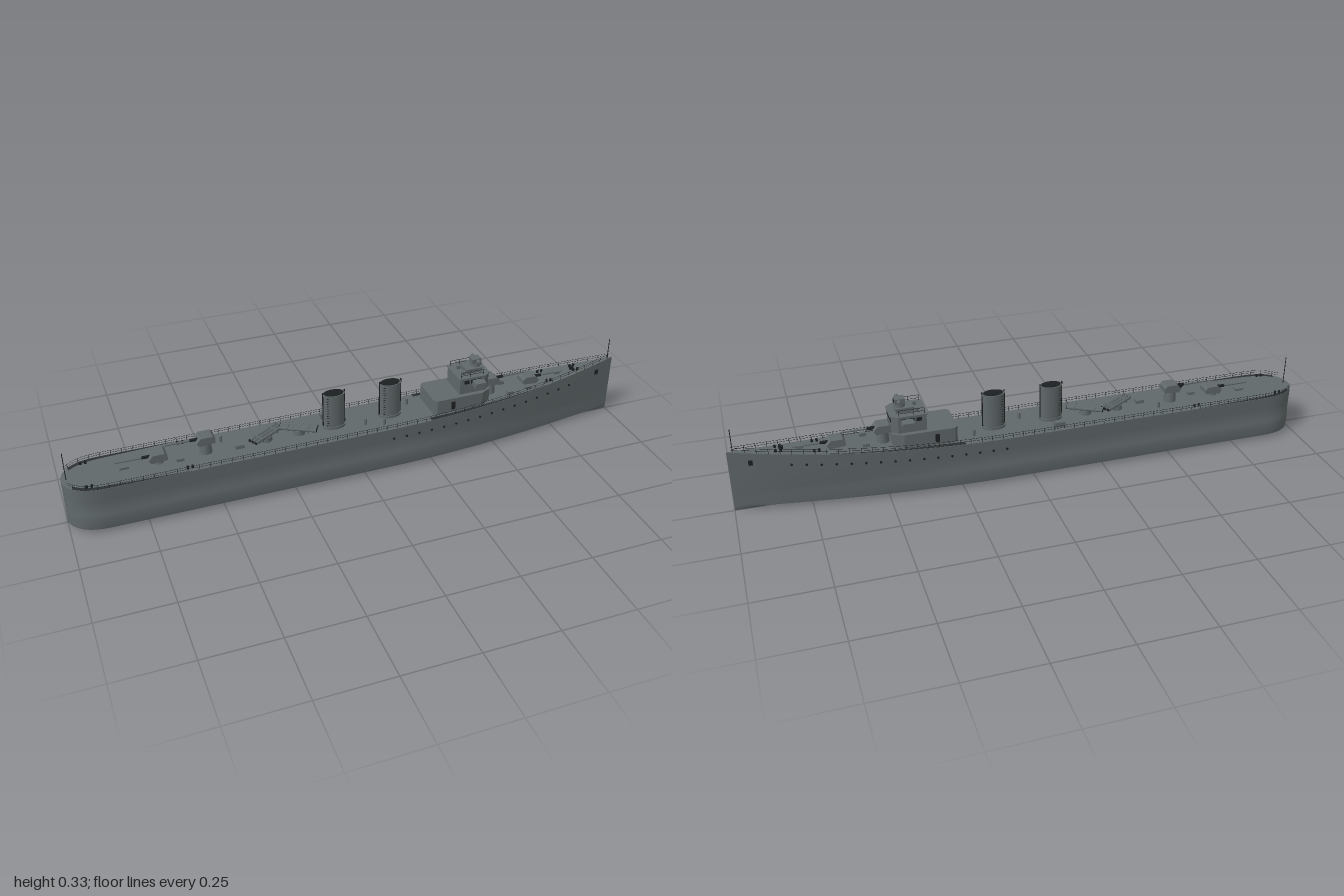
import * as THREE from 'three';
import { mergeGeometries, toCreasedNormals } from 'three/addons/utils/BufferGeometryUtils.js';

const mat = (name, color) => Object.assign(new THREE.MeshStandardMaterial({ color }), { name });
const V = (x, y, z) => new THREE.Vector3(x, y, z);

// Hull lines: sheer height and half breadth along the length
const deckY = x => 0.165 + 0.055 * Math.max(0, (x - 0.05) / 0.95) ** 2;
const half = (x, beam, power) => {
  if (x > 0.1) return beam * Math.max(0, 1 - ((x - 0.1) / 0.9) ** power);
  if (x < -0.85) return beam * Math.sqrt(Math.max(0, 1 - ((-0.85 - x) / 0.15) ** 2.8));
  return beam;
};
const deckHalf = x => half(x, 0.093, 2.2);

// Surface through rows of points
function loft(rows) {
  const n = rows[0].length, index = [];
  for (let i = 0; i < rows.length - 1; i++) for (let j = 0; j < n - 1; j++) {
    const a = i * n + j, b = a + n;
    index.push(a, a + 1, b, a + 1, b + 1, b);
  }
  const g = new THREE.BufferGeometry().setFromPoints(rows.flat());
  g.setIndex(index);
  return toCreasedNormals(g, 0.6);
}

// Thin rod between two points
function rod(p, q, r, sides = 5) {
  const d = q.clone().sub(p);
  const g = new THREE.CylinderGeometry(r, r, d.length(), sides);
  g.applyQuaternion(new THREE.Quaternion().setFromUnitVectors(V(0, 1, 0), d.normalize()));
  const m = p.clone().add(q).multiplyScalar(0.5);
  return g.translate(m.x, m.y, m.z);
}

// Vertical prism from a plan outline symmetric in z
function prism(points, height) {
  const outline = [...points, ...points.slice().reverse().map(([x, z]) => [x, -z])];
  const shape = new THREE.Shape(outline.map(p => new THREE.Vector2(...p)));
  return new THREE.ExtrudeGeometry(shape, { depth: height, bevelEnabled: false }).rotateX(-Math.PI / 2);
}

export function createModel() {
  const ship = new THREE.Group();
  ship.name = 'warship';
  const grey = mat('hullGrey', 0x60686a), deckGrey = mat('deckGrey', 0x60686a), dark = mat('darkMetal', 0x1d2021);
  const strips = mat('darkDeckEdge', 0x2c3031);
  strips.side = THREE.DoubleSide;
  const add = (name, geo, material, x = 0, y = 0, z = 0, parent = ship) => {
    const m = new THREE.Mesh(geo, material);
    m.name = name;
    m.position.set(x, y, z);
    parent.add(m);
    return m;
  };
  const box = (name, w, h, d, x, y, z, m = grey, parent = ship) =>
    add(name, new THREE.BoxGeometry(w, h, d), m, x, y, z, parent);

  // Stations, closer together at the round stern
  const xs = [];
  for (let i = 0; i < 14; i++) xs.push(-0.85 - 0.15 * Math.cos(i / 14 * Math.PI / 2));
  for (let i = 0; i <= 50; i++) xs.push(-0.85 + 1.85 * i / 50);

  // Hull shell with a bulged lower side and shallow V bottom
  add('hull', loft(xs.map(x => {
    const w = deckHalf(x), b = half(x, 0.096, 1.8), top = deckY(x), mid = half(x, 0.09, 2);
    const side = [[w, top], [w * 0.6 + mid * 0.4, 0.12], [mid, 0.082], [b * 0.99, 0.068], [b, 0.05], [b, 0.022], [b * 0.98, 0.013]];
    return [...side.map(([z, y]) => V(x, y, z)), V(x, 0, 0), ...side.reverse().map(([z, y]) => V(x, y, -z))];
  })), grey);
  add('deck', loft(xs.map(x => [V(x, deckY(x), -deckHalf(x)), V(x, deckY(x), deckHalf(x))])), deckGrey);

  // Tapering dark waterways on the deck edge
  for (const s of [-1, 1]) for (const [x0, x1] of [[-0.97, -0.6], [0.24, 0.7]]) {
    const rows = [];
    for (let i = 0; i <= 16; i++) {
      const x = x0 + (x1 - x0) * i / 16, w = deckHalf(x);
      rows.push([V(x, deckY(x) + 0.001, s * w), V(x, deckY(x) + 0.001, s * (w - 0.016 * (1 - i / 16) - 0.001))]);
    }
    add('waterway', loft(rows), strips);
  }

  // Guard rails with stanchions on both sides
  for (const s of [-1, 1]) {
    const edge = (x, h) => V(x, deckY(x) + h, s * Math.max(0, deckHalf(x) - 0.002));
    const parts = [];
    for (let i = 0; i <= 54; i++) {
      const x = -0.97 + 1.95 * i / 54;
      parts.push(rod(edge(x, 0), edge(x, 0.017), 0.0008, 4));
    }
    for (const h of [0.009, 0.017]) {
      const pts = [];
      for (let i = 0; i <= 50; i++) pts.push(edge(-0.985 + 1.97 * i / 50, h));
      parts.push(new THREE.TubeGeometry(new THREE.CatmullRomCurve3(pts), 80, 0.0006, 4));
    }
    add('guardRail', mergeGeometries(parts), dark);

    // Portholes and anchor fittings
    for (let i = 0; i < 16; i++) {
      const x = 0.1 + 0.047 * i, y = deckY(x) - 0.038;
      const w = deckHalf(x) * 0.8 + half(x, 0.09, 2) * 0.2;
      add('porthole', new THREE.CylinderGeometry(0.004, 0.004, 0.006, 10).rotateX(Math.PI / 2), dark, x, y, s * w);
    }
    box('anchor', 0.014, 0.018, 0.008, 0.93, 0.178, s * 0.0135, dark);
    for (const x of [-0.92, -0.6, 0.72, 0.84])
      for (const dx of [-0.008, 0.008])
        add('bollard', new THREE.CylinderGeometry(0.004, 0.004, 0.01, 8), dark, x + dx, deckY(x) + 0.005, s * (deckHalf(x) - 0.018));
  }
  add('sternStaff', rod(V(-0.983, 0.165, 0), V(-0.983, 0.265, 0), 0.0014), dark);
  add('bowStaff', rod(V(0.98, 0.217, 0), V(0.98, 0.3, 0), 0.0014), dark);

  // Oval funnels with dark mouth, rim and steam pipes
  for (const x of [-0.084, 0.12]) {
    const f = new THREE.Group();
    f.name = 'funnel';
    f.position.set(x, 0.16, 0);
    ship.add(f);
    const oval = (r, h) => new THREE.CylinderGeometry(r, r, h, 32).scale(1, 1, 0.62);
    add('funnelCasing', oval(0.037, 0.134), grey, 0, 0.067, 0, f);
    add('funnelRim', oval(0.039, 0.005), grey, 0, 0.132, 0, f);
    add('funnelMouth', oval(0.034, 0.002), dark, 0, 0.1355, 0, f);
    add('funnelBase', oval(0.041, 0.012), grey, 0, 0.008, 0, f);
    for (const s of [-1, 1]) add('steamPipe', rod(V(s * 0.0385, 0, 0), V(s * 0.0385, 0.142, 0), 0.0024), dark, 0, 0, 0, f);
    for (const s of [-1, 1]) for (let i = 0; i < 12; i++)
      box('ladderRung', 0.008, 0.0014, 0.002, -0.026, 0.02 + i * 0.0095, s * 0.0172, dark, f);
  }

  // Bridge: deckhouse, wheelhouse, wings, director
  add('deckhouse', prism([[0.26, 0.058], [0.27, 0.068], [0.44, 0.068], [0.475, 0.05]], 0.065), grey, 0, 0.158);
  add('wheelhouse', prism([[0.36, 0.052], [0.455, 0.052], [0.475, 0.036]], 0.058), grey, 0, 0.222);
  add('wheelhouseRoof', prism([[0.356, 0.054], [0.457, 0.054], [0.479, 0.037]], 0.004), grey, 0, 0.279);
  for (let i = -2; i <= 2; i++) box('frontWindow', 0.003, 0.014, 0.0115, 0.475, 0.267, i * 0.0142, dark);
  for (const s of [-1, 1]) {
    for (let i = 0; i < 3; i++) box('sideWindow', 0.018, 0.013, 0.003, 0.385 + i * 0.025, 0.267, s * 0.052, dark);
    box('bridgeWing', 0.04, 0.02, 0.033, 0.425, 0.262, s * 0.068);
    box('deckhouseDoor', 0.014, 0.03, 0.003, 0.33, 0.195, s * 0.068, dark);
    box('signalLamp', 0.012, 0.012, 0.01, 0.385, 0.289, s * 0.022);
    const rails = [];
    for (const x of [0.365, 0.4, 0.45]) rails.push(rod(V(x, 0.28, s * 0.046), V(x, 0.303, s * 0.046), 0.0009));
    for (const y of [0.292, 0.303]) rails.push(rod(V(0.365, y, s * 0.046), V(0.45, y, s * 0.046), 0.0007));
    add('bridgeRail', mergeGeometries(rails), dark);
  }
  box('chartHouse', 0.06, 0.018, 0.05, 0.425, 0.29, 0);
  add('directorBase', new THREE.CylinderGeometry(0.017, 0.02, 0.024, 16), grey, 0.438, 0.303, 0);
  box('director', 0.034, 0.018, 0.03, 0.438, 0.319, 0);
  add('rangefinder', new THREE.CylinderGeometry(0.0065, 0.0065, 0.064, 12).rotateX(Math.PI / 2), grey, 0.442, 0.32, 0);
  box('directorSight', 0.003, 0.007, 0.014, 0.4555, 0.32, 0, dark);

  // Gun mounts: [x, floor height, facing]
  for (const [x, y, dir] of [[0.655, 0.188, 1], [0.5, 0.214, 1], [-0.69, 0.174, -1], [-0.53, 0.203, -1]]) {
    const gun = new THREE.Group();
    gun.name = 'gunMount';
    gun.position.set(x, y, 0);
    gun.rotation.y = dir > 0 ? 0 : Math.PI;
    ship.add(gun);
    const below = y - deckY(x) + 0.003;
    add('pedestal', new THREE.CylinderGeometry(0.018, 0.022, below, 16), grey, 0, -below / 2, 0, gun);
    const side = new THREE.Shape([[-0.03, 0.004], [0.024, 0], [0.032, 0.012], [0.018, 0.029], [-0.022, 0.029], [-0.03, 0.02]]
      .map(p => new THREE.Vector2(...p)));
    add('gunShield', new THREE.ExtrudeGeometry(side, { depth: 0.048, bevelEnabled: false }), grey, 0, 0, -0.024, gun);
    add('barrel', new THREE.CylinderGeometry(0.0028, 0.004, 0.115, 10).rotateZ(-Math.PI / 2), grey, 0.08, 0.016, 0, gun);
    add('barrelSleeve', new THREE.CylinderGeometry(0.005, 0.006, 0.03, 10).rotateZ(-Math.PI / 2), dark, 0.036, 0.016, 0, gun);
  }

  // Two trainable triple tube launchers set in a V
  for (const [x, turn] of [[-0.325, 0.55], [-0.21, -0.5]]) {
    const bank = new THREE.Group();
    bank.name = 'tubeLauncher';
    bank.position.set(x, 0.165, 0);
    bank.rotation.y = turn;
    ship.add(bank);
    add('turntable', new THREE.CylinderGeometry(0.02, 0.022, 0.016, 16), grey, 0, 0.008, 0, bank);
    for (const z of [-0.0135, 0, 0.0135]) {
      add('tube', new THREE.CylinderGeometry(0.006, 0.006, 0.125, 12).rotateZ(Math.PI / 2), grey, 0, 0.022, z, bank);
      for (const s of [-1, 1])
        add('tubeCap', new THREE.CylinderGeometry(0.0055, 0.0055, 0.002, 12).rotateZ(Math.PI / 2), dark, s * 0.063, 0.022, z, bank);
    }
    for (const dx of [-0.035, 0.035]) box('tubeBand', 0.005, 0.015, 0.042, dx, 0.022, 0, grey, bank);
  }

  // Deck lockers, hatches and vents: [x, z, length, width, height]
  for (const [x, z, l, w, h] of [[-0.095, -0.062, 0.036, 0.02, 0.018], [-0.42, 0.015, 0.03, 0.02, 0.012],
    [-0.62, 0.02, 0.025, 0.018, 0.01], [0.56, -0.028, 0.022, 0.014, 0.012], [0.56, 0.046, 0.022, 0.014, 0.012],
    [0.635, 0.043, 0.022, 0.012, 0.01], [-0.8, 0, 0.03, 0.022, 0.008], [0.77, 0, 0.022, 0.014, 0.01]])
    box('deckLocker', l, h, w, x, deckY(x) + h / 2, z);
  for (const [x, z] of [[0.02, 0.03], [0.08, 0.052], [0.2, -0.04], [-0.47, -0.04]])
    add('vent', new THREE.CylinderGeometry(0.005, 0.005, 0.022, 10), grey, x, deckY(x) + 0.011, z);
  add('capstan', new THREE.CylinderGeometry(0.008, 0.006, 0.012, 12), dark, 0.83, deckY(0.83) + 0.006, 0);
  return ship;
}
